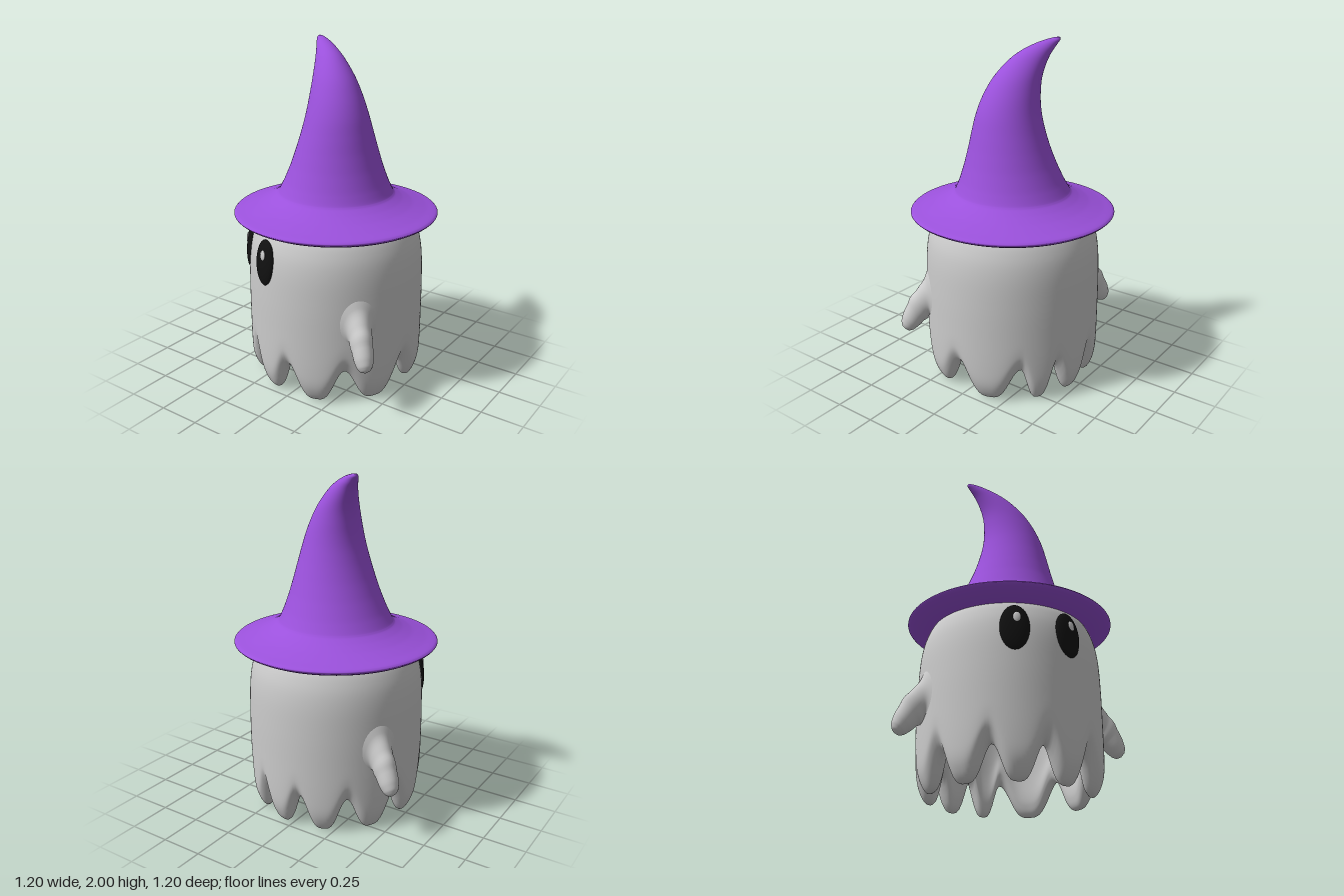
import * as THREE from 'three';
import { mergeVertices } from 'three/addons/utils/BufferGeometryUtils.js';

const grey = new THREE.MeshStandardMaterial({ color: 0xcccccc, side: THREE.DoubleSide });
const purple = new THREE.MeshStandardMaterial({ color: 0x9b51dc, side: THREE.DoubleSide });
const black = new THREE.MeshStandardMaterial({ color: 0x111111 });

const add = (parent, name, geometry, material) => {
  const mesh = new THREE.Mesh(geometry, material);
  mesh.name = name;
  parent.add(mesh);
  return mesh;
};

// move every vertex by a rule, then weld the seam and smooth
function reshape(geometry, rule) {
  geometry.deleteAttribute('uv');
  geometry.deleteAttribute('normal');
  const pos = geometry.attributes.position;
  const v = new THREE.Vector3();
  for (let i = 0; i < pos.count; i++) {
    rule(v.fromBufferAttribute(pos, i));
    pos.setXYZ(i, v.x, v.y, v.z);
  }
  const welded = mergeVertices(geometry, 1e-5);
  welded.computeVertexNormals();
  return welded;
}

// tube through slices of six numbers; place() turns a unit circle into one ring
function loft(slices, rows, segments, place) {
  const curve = (k) => new THREE.CatmullRomCurve3(
    slices.map((s) => new THREE.Vector3(s[k], s[k + 1], s[k + 2])));
  const first = curve(0);
  const second = curve(3);
  const unit = Array.from({ length: rows + 1 }, (_, i) => new THREE.Vector2(1, i / rows));
  return reshape(new THREE.LatheGeometry(unit, segments), (v) =>
    place(v, first.getPoint(v.y), second.getPoint(v.y)));
}

// angles (degrees) of the notches around the ragged hem
const notches = [0, 41, 86, 132, 157, 187, 221, 257, 293, 327, 360];

function hemHeight(angle) {
  const a = THREE.MathUtils.euclideanModulo(THREE.MathUtils.radToDeg(angle) - 35, 360);
  const i = Math.min(notches.findIndex((n) => n > a), notches.length - 1);
  const t = (a - notches[i - 1]) / (notches[i] - notches[i - 1]);
  return 0.19 * Math.pow((1 + Math.cos(2 * Math.PI * t)) / 2, 1.8);
}

// hollow sheet: inner wall down, round the thick hem, outer wall up to the dome
function bodyGeometry() {
  const profile = new THREE.SplineCurve([
    [0, 1.03], [0.22, 1.0], [0.37, 0.87], [0.42, 0.6], [0.42, 0.3], [0.405, 0.12],
    [0.41, 0.05], [0.425, 0.012], [0.447, 0], [0.471, 0.012], [0.496, 0.055], [0.514, 0.12],
    [0.52, 0.22], [0.521, 0.4], [0.52, 0.6], [0.512, 0.78], [0.488, 0.9], [0.44, 0.99],
    [0.33, 1.06], [0, 1.1],
  ].map(([r, y]) => new THREE.Vector2(r, y))).getPoints(100);
  return reshape(new THREE.LatheGeometry(profile, 200), (v) => {
    const lift = 1 - THREE.MathUtils.smoothstep(v.y, 0, 0.55);
    v.y += hemHeight(Math.atan2(v.x, v.z)) * lift;
  });
}

// drooping arm that flares out onto the round body
function armGeometry() {
  const slices = [ // distance out, height, tilt, half width, half height, wrap round body
    [0.512, 0.495, 0, 0.13, 0.175, 1],
    [0.526, 0.485, 0.1, 0.086, 0.122, 0.8],
    [0.552, 0.457, 0.4, 0.066, 0.09, 0.4],
    [0.592, 0.405, 0.7, 0.06, 0.075, 0],
    [0.628, 0.352, 0.85, 0.055, 0.062, 0],
    [0.65, 0.317, 0.9, 0.043, 0.047, 0],
    [0.661, 0.299, 0.9, 0.026, 0.028, 0],
    [0.665, 0.292, 0.9, 0, 0, 0],
  ];
  return loft(slices, 36, 36, (v, p, s) => {
    const x = v.x * s.x;
    const up = -v.z * s.y;
    const sag = 0.52 - Math.sqrt(0.52 * 0.52 - x * x);
    v.set(x, p.y + up * Math.cos(p.z), p.x + up * Math.sin(p.z) - sag * s.z);
  });
}

// hat in one skin: brim underside, rim, brim top, then the bent cone
function hatGeometry() {
  const rim = [
    [0.36, 0.985], [0.42, 0.967], [0.48, 0.969], [0.55, 0.988], [0.588, 1.008], [0.598, 1.02],
    [0.588, 1.031], [0.53, 1.047], [0.45, 1.073], [0.39, 1.1], [0.347, 1.126], [0.336, 1.138],
  ].map(([r, y]) => [0, y, 0, r, r, 0]);
  const cone = [ // drift, height, half width, half depth
    [0.005, 1.2, 0.305, 0.305], [0.013, 1.3, 0.266, 0.266], [0.02, 1.4, 0.234, 0.234],
    [0.024, 1.5, 0.208, 0.204], [0.021, 1.6, 0.185, 0.176], [0.002, 1.7, 0.162, 0.148],
    [-0.036, 1.8, 0.137, 0.116], [-0.108, 1.9, 0.108, 0.075], [-0.169, 1.95, 0.084, 0.05],
    [-0.232, 1.985, 0.05, 0.028], [-0.268, 2, 0.012, 0.008], [-0.271, 2, 0, 0],
  ].map(([x, y, w, d]) => [x, y, 0, w, d, 0]);
  return loft([...rim, ...cone], 138, 84, (v, p, s) =>
    v.set(p.x + v.x * s.x, Math.min(p.y, 2), v.z * s.y));
}

export function createModel() {
  const model = new THREE.Group();
  model.name = 'ghostWithHat';
  const ghost = new THREE.Group();
  ghost.name = 'ghost';
  ghost.rotation.y = THREE.MathUtils.degToRad(-35);
  model.add(ghost);

  add(ghost, 'body', bodyGeometry(), grey);
  add(ghost, 'hat', hatGeometry(), purple);

  const armShape = armGeometry();
  const ball = new THREE.SphereGeometry(1, 32, 20);
  for (const side of [1, -1]) {
    const prefix = side > 0 ? 'left' : 'right';

    const arm = add(ghost, prefix + 'Arm', armShape, grey);
    arm.rotation.y = side * THREE.MathUtils.degToRad(84);

    // eye with a small highlight
    const eye = new THREE.Group();
    eye.name = prefix + 'Eye';
    const a = side * THREE.MathUtils.degToRad(17.5);
    eye.position.set(Math.sin(a) * 0.502, 0.8, Math.cos(a) * 0.502);
    eye.rotation.set(-0.08, a, 0, 'YXZ');
    ghost.add(eye);
    add(eye, 'eyeball', ball, black).scale.set(0.081, 0.136, 0.03);
    const highlight = add(eye, 'highlight', ball, grey);
    highlight.scale.set(0.021, 0.03, 0.008);
    highlight.position.set(0.01, 0.05, 0.026);
  }
  return model;
}
